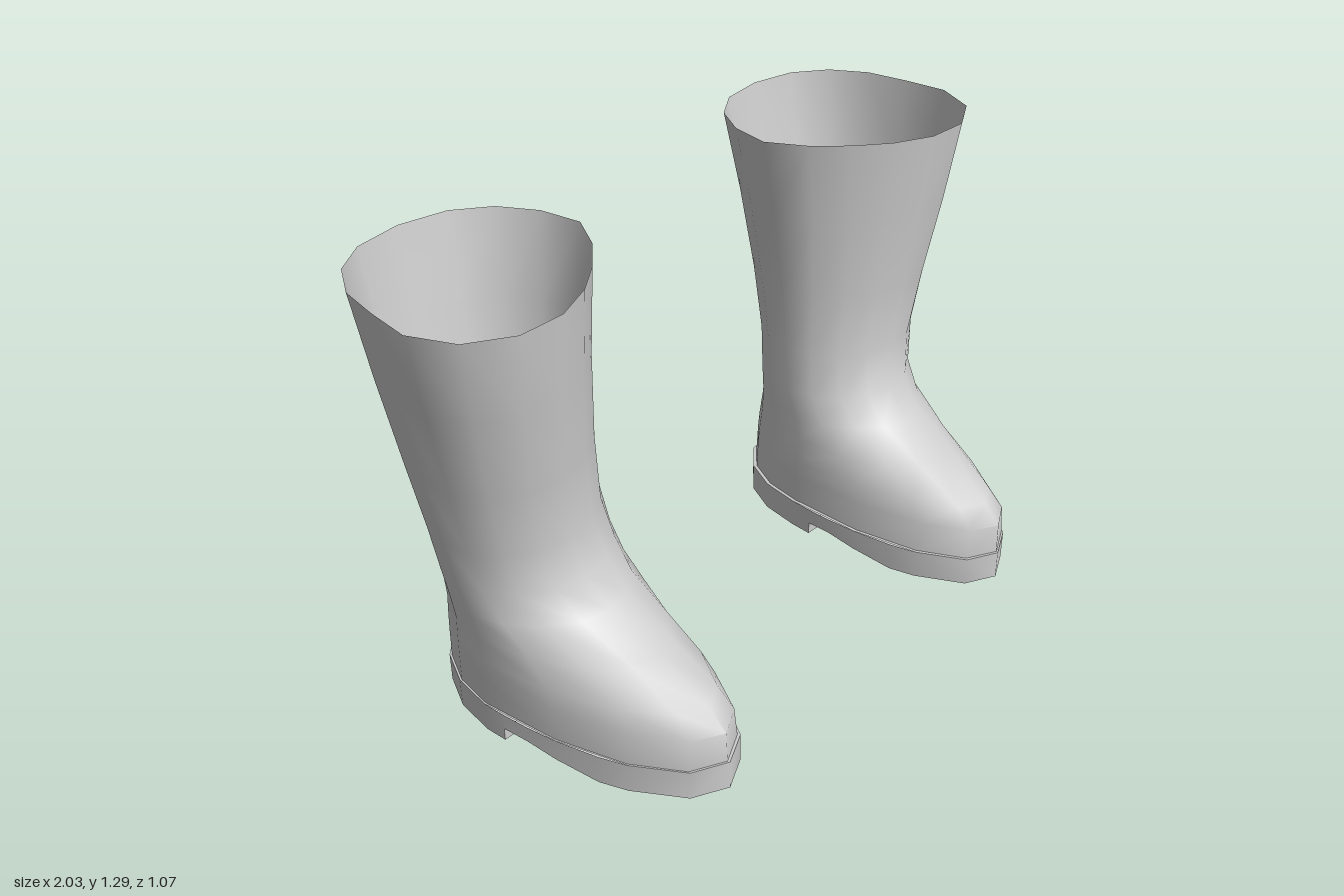
import * as THREE from 'three';
import { toCreasedNormals } from 'three/addons/utils/BufferGeometryUtils.js';

const SEGMENTS = 16;

// Horizontal boot sections:
// height, inner x, outer x, front z, back z, sideways shift at the toe, toe taper, skew
const SOLE = [0.09, 0.385, 0.885, 0.535, -0.42, -0.035, 0, 0];
const LEVELS = [
  SOLE,
  [0.09, 0.395, 0.88, 0.528, -0.41, -0.035, 0, 0],
  [0.185, 0.397, 0.88, 0.525, -0.405, -0.035, 0.1, 0],
  [0.24, 0.4, 0.88, 0.47, -0.4, -0.035, 0.2, 0],
  [0.315, 0.405, 0.88, 0.305, -0.39, -0.03, 0.2, 0],
  [0.39, 0.41, 0.885, 0.14, -0.383, -0.02, 0.12, 0],
  [0.47, 0.413, 0.89, 0.07, -0.38, -0.01, 0, 0],
  [0.6, 0.42, 0.905, 0.045, -0.39, 0, 0, 0.03],
  [0.8, 0.413, 0.935, 0.06, -0.43, 0.01, 0, 0.06],
  [1.05, 0.39, 0.97, 0.092, -0.487, 0.02, 0, 0.1],
  [1.29, 0.35, 1.0, 0.118, -0.535, 0.03, 0, 0.13],
];

const centreZ = ([, , , front, back]) => Math.min((front + back) / 2, -0.1);

// Point of a section at angle t, measured from the outer side towards the toe
function sectionPoint(level, t) {
  const [y, inner, outer, front, back, shift, taper, skew] = level;
  const c = Math.cos(t), s = Math.sin(t), cz = centreZ(level);
  const toe = Math.max(s, 0);
  const round = s < 0 ? Math.sign(c) * Math.pow(Math.abs(c), 0.87) : c;
  const grow = 1 + (s > 0 ? skew * Math.sin(2 * t) : 0);
  const x = (inner + outer) / 2 + shift * toe
    + (outer - inner) / 2 * round * (1 - taper * toe * toe) * grow;
  const z = cz + (s > 0 ? front - cz : cz - back) * s * grow;
  return [x, y, z];
}

// Skins rows of points; side = -1 mirrors the result
function skin(rows, closed, side) {
  const n = rows[0].length, index = [];
  const add = (a, b, c) => index.push(...(side > 0 ? [a, b, c] : [a, c, b]));
  for (let i = 0; i < rows.length - 1; i++) {
    for (let j = 0; j < (closed ? n : n - 1); j++) {
      const k = (j + 1) % n;
      const a = i * n + j, b = i * n + k, c = a + n, d = b + n;
      add(a, c, b);
      add(b, c, d);
    }
  }
  const positions = rows.flat().flatMap(([x, y, z]) => [x * side, y, z]);
  const geometry = new THREE.BufferGeometry();
  geometry.setAttribute('position', new THREE.Float32BufferAttribute(positions, 3));
  geometry.setIndex(index);
  return toCreasedNormals(geometry, 1.1);
}

// Open-topped foot and shaft
function bootUpper(side) {
  const rows = LEVELS.map((level) => Array.from({ length: SEGMENTS },
    (_, j) => sectionPoint(level, (j / SEGMENTS) * Math.PI * 2)));
  return skin(rows, true, side);
}

// Height of the tread along the sole: heel, arch recess, ramp, forefoot
function treadHeight(z) {
  if (z < -0.03 || z > 0.27) return 0;
  return z < 0.05 ? 0.04 : 0.04 * (0.27 - z) / 0.22;
}

function bootSole(side) {
  const cz = centreZ(SOLE), front = SOLE[3] - cz, back = cz - SOLE[4];
  const angleAt = (z) => Math.asin((z - cz) / (z > cz ? front : back));
  const section = (t, tread) => {
    const [xo, top, z] = sectionPoint(SOLE, t);
    const xi = sectionPoint(SOLE, Math.PI - t)[0];
    return [[xo, top, z], [xo, tread, z], [xi, tread, z], [xi, top, z]];
  };
  const angles = [angleAt(0.05), angleAt(0.27)];
  for (let i = 0; i <= SEGMENTS / 2; i++) angles.push(-Math.PI / 2 + (i / SEGMENTS) * Math.PI * 2);
  const stations = angles.map((t) => {
    const z = sectionPoint(SOLE, t)[2];
    return { z, row: section(t, treadHeight(z)) };
  });
  // Vertical step at the front of the heel
  const step = angleAt(-0.03);
  stations.push({ z: -0.0301, row: section(step, 0) }, { z: -0.03, row: section(step, 0.04) });
  stations.sort((a, b) => a.z - b.z);
  return skin(stations.map((s) => s.row), false, side);
}

export function createModel() {
  const model = new THREE.Group();
  model.name = 'boots';
  const material = new THREE.MeshStandardMaterial({ color: 0xcccccc, side: THREE.DoubleSide });
  for (const side of [1, -1]) {
    const boot = new THREE.Group();
    boot.name = side > 0 ? 'leftBoot' : 'rightBoot';
    const upper = new THREE.Mesh(bootUpper(side), material);
    upper.name = 'upper';
    const sole = new THREE.Mesh(bootSole(side), material);
    sole.name = 'sole';
    boot.add(upper, sole);
    model.add(boot);
  }
  return model;
}
